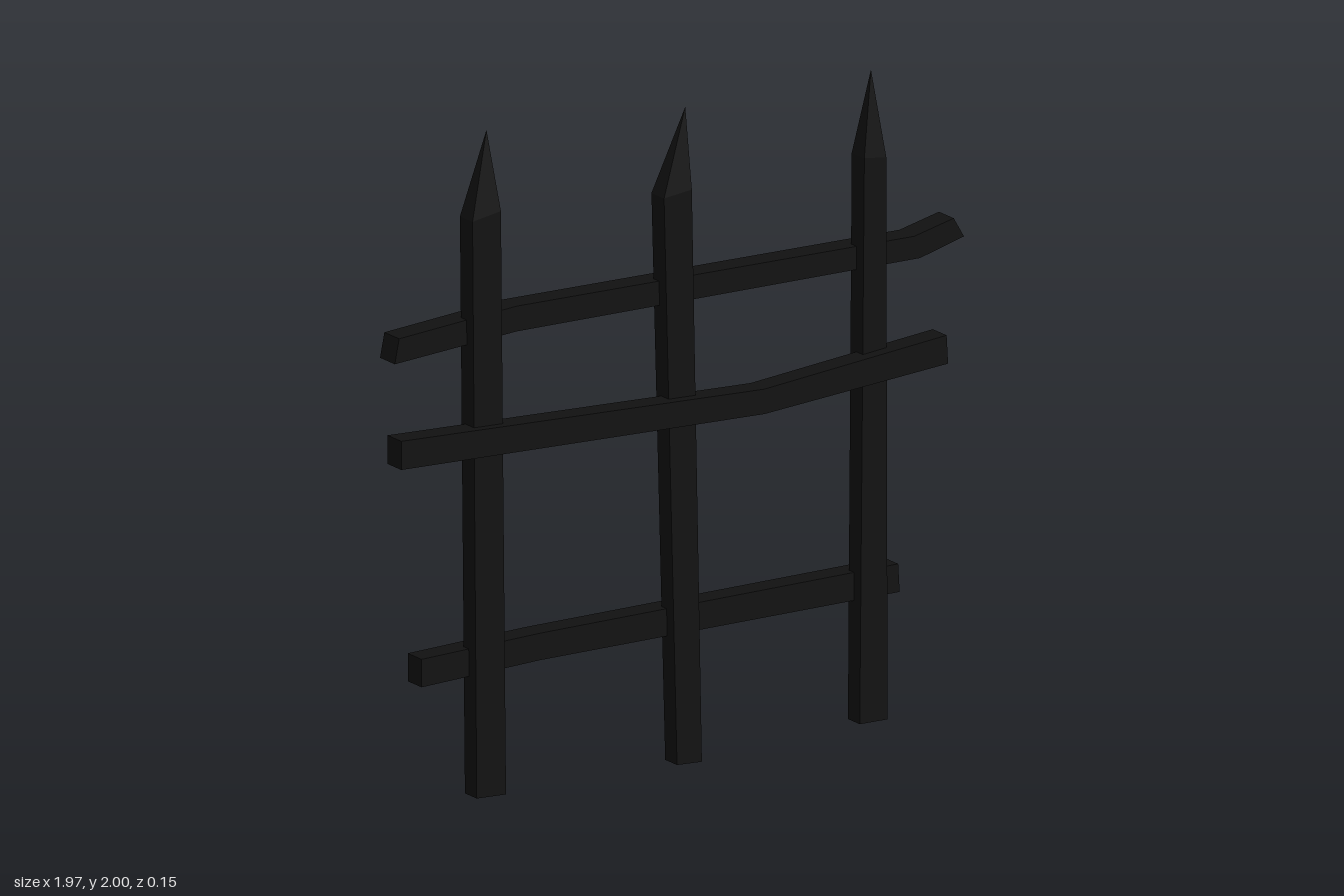
import * as THREE from 'three';

const material = new THREE.MeshStandardMaterial({ color: 0x111111, flatShading: true });

// Four-sided beam through cross-sections [xa, ya, xb, yb, zBack, zFront];
// a is the edge to the right of the direction of travel, b the edge to its left.
function beam(name, sections) {
  const rings = sections.map(([xa, ya, xb, yb, z0, z1]) => [
    new THREE.Vector3(xa, ya, z0), new THREE.Vector3(xb, yb, z0),
    new THREE.Vector3(xb, yb, z1), new THREE.Vector3(xa, ya, z1),
  ]);
  const points = [];
  const triangle = (a, b, c) => {
    if (new THREE.Triangle(a, b, c).getArea() > 1e-7) points.push(a, b, c);
  };
  const quad = (a, b, c, d) => { triangle(a, b, c); triangle(a, c, d); };

  for (let i = 0; i < rings.length - 1; i++) {
    for (let k = 0; k < 4; k++) {
      const n = (k + 1) % 4;
      quad(rings[i][k], rings[i][n], rings[i + 1][n], rings[i + 1][k]);
    }
  }
  const [s0, s1, s2, s3] = rings[0];
  quad(s0, s3, s2, s1);
  quad(...rings[rings.length - 1]);

  const geometry = new THREE.BufferGeometry().setFromPoints(points);
  geometry.computeVertexNormals();
  const mesh = new THREE.Mesh(geometry, material);
  mesh.name = name;
  return mesh;
}

// Upright: foot and shoulder given as right and left corners, then a pointed tip
function post(name, foot, shoulder, tip) {
  return beam(name, [
    [...foot, -0.025, 0.035],
    [...shoulder, -0.028, 0.036],
    [...tip, ...tip, 0.01, 0.01],
  ]);
}

export function createModel() {
  const group = new THREE.Group();
  group.name = 'fence';

  // Slightly leaning pointed posts
  group.add(
    post('rightPost', [-0.61, 0.025, -0.71, 0.03], [-0.628, 1.76, -0.725, 1.745], [-0.66, 2.0]),
    post('middlePost', [0.06, 0.005, -0.025, 0.01], [0.025, 1.71, -0.07, 1.7], [0.02, 1.95]),
    post('leftPost', [0.695, 0.02, 0.6, 0.022], [0.69, 1.69, 0.615, 1.7], [0.655, 1.95]),
  );

  // Crooked rails: top and bottom behind the posts, middle one in front
  group.add(
    beam('topRail', [
      [-0.97, 1.357, -0.955, 1.43, -0.07, 0.005],
      [-0.55, 1.38, -0.55, 1.455, -0.075, 0],
      [0.83, 1.357, 0.81, 1.425, -0.075, 0],
      [0.98, 1.395, 0.945, 1.455, -0.075, 0],
    ]),
    beam('middleRail', [
      [-0.985, 1.06, -0.985, 1.145, -0.01, 0.06],
      [0.25, 1.013, 0.25, 1.087, 0, 0.07],
      [0.875, 1.055, 0.87, 1.14, 0.005, 0.075],
    ]),
    beam('bottomRail', [
      [-0.875, 0.38, -0.875, 0.463, -0.07, 0],
      [-0.47, 0.39, -0.47, 0.47, -0.072, 0],
      [0.76, 0.378, 0.755, 0.462, -0.07, 0],
    ]),
  );
  return group;
}
